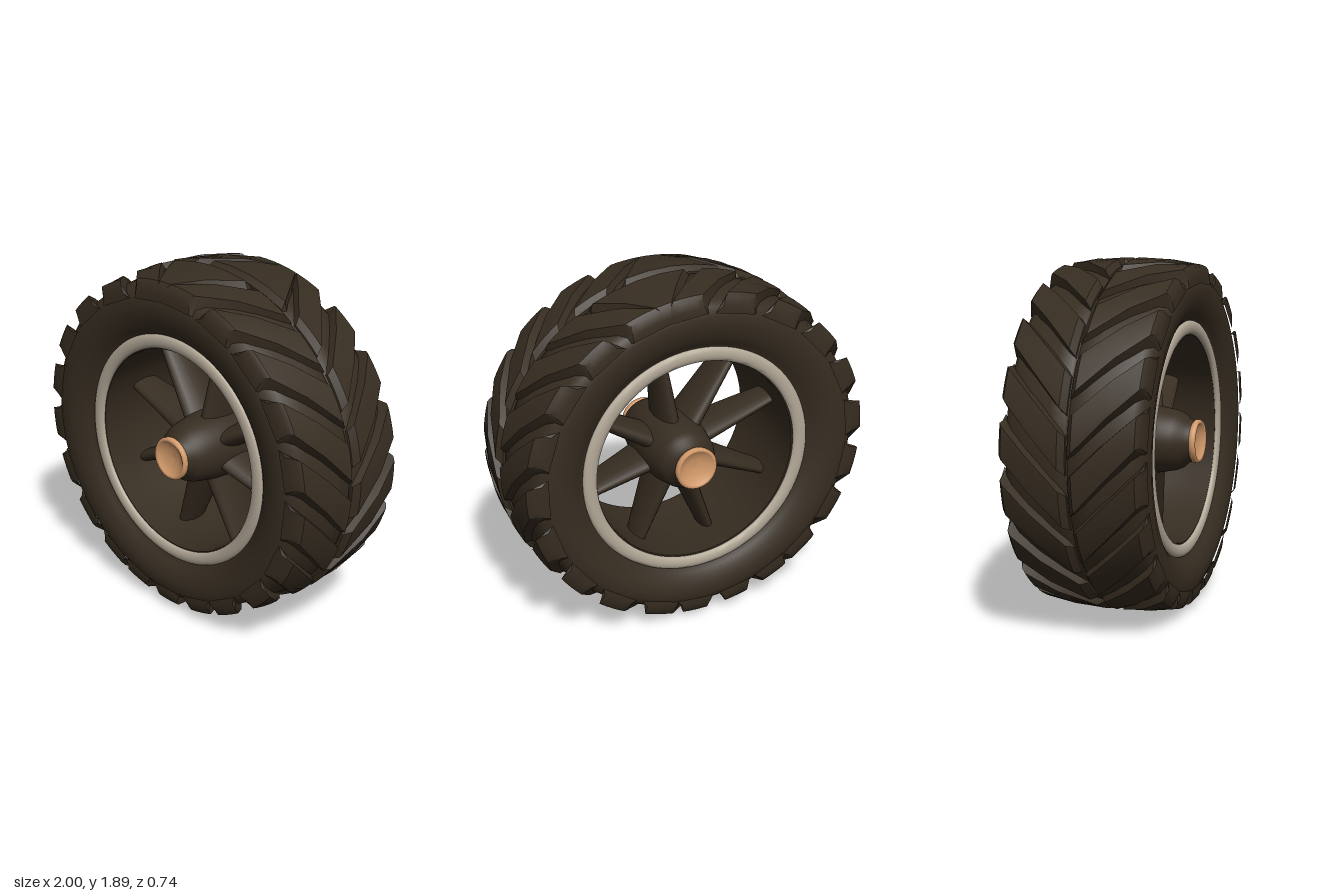
import * as THREE from 'three';
import { toCreasedNormals, mergeGeometries } from 'three/addons/utils/BufferGeometryUtils.js';

const RAD = Math.PI / 180;
const rubber = new THREE.MeshStandardMaterial({ color: 0x372d21 });
rubber.name = 'dark rubber';
const rimMetal = new THREE.MeshStandardMaterial({ color: 0xb3a897 });
rimMetal.name = 'pale rim metal';
const copper = new THREE.MeshStandardMaterial({ color: 0xd69c6c });
copper.name = 'copper cap';

// Lifts the wheel to its axle height and squashes the outer tyre slightly
function settle(geo, crease) {
  const p = geo.attributes.position;
  for (let i = 0; i < p.count; i++) {
    const r = Math.hypot(p.getX(i), p.getY(i));
    const t = THREE.MathUtils.clamp((r - 0.6) / 0.35, 0, 1);
    p.setX(i, p.getX(i) + 0.008 * (1 - t));
    p.setY(i, 0.925 + 0.02 * t + p.getY(i) * (0.985 - 0.04 * t));
  }
  return toCreasedNormals(geo, crease);
}

function lathe(points, segments) {
  const geo = new THREE.LatheGeometry(points.map(([r, z]) => new THREE.Vector2(r, z)), segments);
  return geo.rotateX(Math.PI / 2);
}

function addMesh(parent, geo, material, name) {
  const mesh = new THREE.Mesh(geo, material);
  mesh.name = name;
  parent.add(mesh);
  return mesh;
}

// Tread lug: cross-sections lofted from the centre line (a0, w0) to the shoulder (a1, w1), in degrees
const LUG_STATIONS = [[0.006, 0.97], [0.035, 1.0], [0.2, 0.99], [0.34, 0.966], [0.358, 0.945], [0.369, 0.895]];
function lug(a0, a1, w0, w1, sx, sz) {
  const verts = [], index = [], across = 5, n = across + 2;
  LUG_STATIONS.forEach(([z, rOut]) => {
    const t = z / 0.37;
    const a = a0 + (a1 - a0) * t, w = w0 + (w1 - w0) * t;
    for (let j = 0; j < n; j++) {
      const foot = j === 0 || j === n - 1;
      const f = foot ? (j ? 0.66 : -0.66) : 0.43 * (2 * (j - 1) / (across - 1) - 1);
      const ang = (a + w * f) * RAD, r = foot ? 0.86 : rOut;
      verts.push(sx * r * Math.cos(ang), r * Math.sin(ang), sz * z);
    }
  });
  const tri = (a, b, c) => (sx * sz > 0 ? index.push(a, b, c) : index.push(a, c, b));
  const last = LUG_STATIONS.length - 1;
  for (let i = 0; i < last; i++) {
    for (let j = 0; j < n - 1; j++) {
      const k = i * n + j;
      tri(k, k + 1, k + n);
      tri(k + 1, k + n + 1, k + n);
    }
  }
  for (let j = 1; j < n - 1; j++) {
    tri(0, j + 1, j);
    tri(last * n, last * n + j, last * n + j + 1);
  }
  const geo = new THREE.BufferGeometry();
  geo.setAttribute('position', new THREE.Float32BufferAttribute(verts, 3));
  geo.setIndex(index);
  return geo;
}

export function createModel() {
  const wheel = new THREE.Group();
  wheel.name = 'wheel';

  // Tyre body with bulged sidewalls and inner barrel, as one closed turned profile
  const half = [[0.962, 0.012], [0.957, 0.1], [0.94, 0.22], [0.918, 0.31], [0.89, 0.347], [0.84, 0.365],
    [0.775, 0.362], [0.715, 0.346], [0.675, 0.324], [0.645, 0.3], [0.6, 0.29], [0.566, 0.296], [0.572, 0.2]];
  const mirrored = half.map(([r, z]) => [r, -z]).reverse();
  const profile = [[0.95, 0], ...half, [0.585, 0], ...mirrored, [0.95, 0]];
  addMesh(wheel, settle(lathe(profile, 120), 0.9), rubber, 'tyreBody');

  // Chevron lugs, mirrored left to right; the back row is turned against the front row
  for (const sz of [1, -1]) {
    const row = [];
    for (const sx of [1, -1]) {
      for (let i = 0; i < 9; i++) row.push(lug(-83 + 18 * i, -60 + 18 * i, 13.5, 11.5, sx, sz));
      row.push(lug(-86, -74, 2.5, 11, sx, sz));
    }
    // Wedge and filler where the two chevron runs meet
    row.push(lug(90, 90, 38, 3, 1, sz), lug(-90, -90, 2.5, 10, 1, sz));
    const geo = mergeGeometries(row);
    if (sz < 0) geo.rotateZ(-13 * RAD);
    addMesh(wheel, settle(geo, 0.6), rubber, sz > 0 ? 'frontTread' : 'backTread');
  }

  // Flattened rim rings set into both faces
  for (const side of [1, -1]) {
    const ring = new THREE.TorusGeometry(0.609, 0.039, 16, 96).scale(1, 1, 0.5);
    ring.translate(0, 0, side > 0 ? 0.3 : -0.306);
    addMesh(wheel, settle(ring, 1), rimMetal, side > 0 ? 'frontRim' : 'backRim');
  }

  // Hub, slightly off the tyre centre
  const hub = new THREE.Group();
  hub.name = 'hub';
  hub.position.set(0.04, 0.913, 0);
  wheel.add(hub);
  const hubHalf = [[0.19, 0.05], [0.185, 0.12], [0.174, 0.18], [0.162, 0.24], [0.145, 0.28], [0.122, 0.3], [0.108, 0.335], [0, 0.335]];
  const hubProfile = [...hubHalf.map(([r, z]) => [r, -z]).reverse(), ...hubHalf];
  addMesh(hub, toCreasedNormals(lathe(hubProfile, 48), 0.7), rubber, 'hubBody');

  // Dished caps on both ends of the axle
  const cap = [[0.1, 0.322], [0.116, 0.338], [0.117, 0.357], [0.108, 0.369], [0.096, 0.363],
    [0.08, 0.351], [0.045, 0.34], [0, 0.337]];
  for (const side of [1, -1]) {
    const mesh = addMesh(hub, lathe(cap, 40), copper, side > 0 ? 'frontCap' : 'backCap');
    if (side < 0) mesh.rotation.y = Math.PI;
  }

  // Tapered spokes from the hub to the barrel, deep along the axle and flared at the root
  const spokeProfile = [[0.095, 0.1], [0.07, 0.2], [0.057, 0.3], [0.035, 1]];
  for (const deg of [78, 124, 164, 208, 252, 294, 340, 25.5]) {
    const dx = 0.59 * Math.cos(deg * RAD) - hub.position.x;
    const dy = 0.59 * Math.sin(deg * RAD) + 0.925 - hub.position.y;
    const length = Math.hypot(dx, dy);
    const points = spokeProfile.map(([r, t]) => new THREE.Vector2(r, t * length));
    const geo = new THREE.LatheGeometry(points, 20).scale(1, 1, 2.6);
    const spoke = addMesh(hub, geo, rubber, 'spoke');
    spoke.rotation.z = Math.atan2(dy, dx) - Math.PI / 2;
  }

  return wheel;
}
